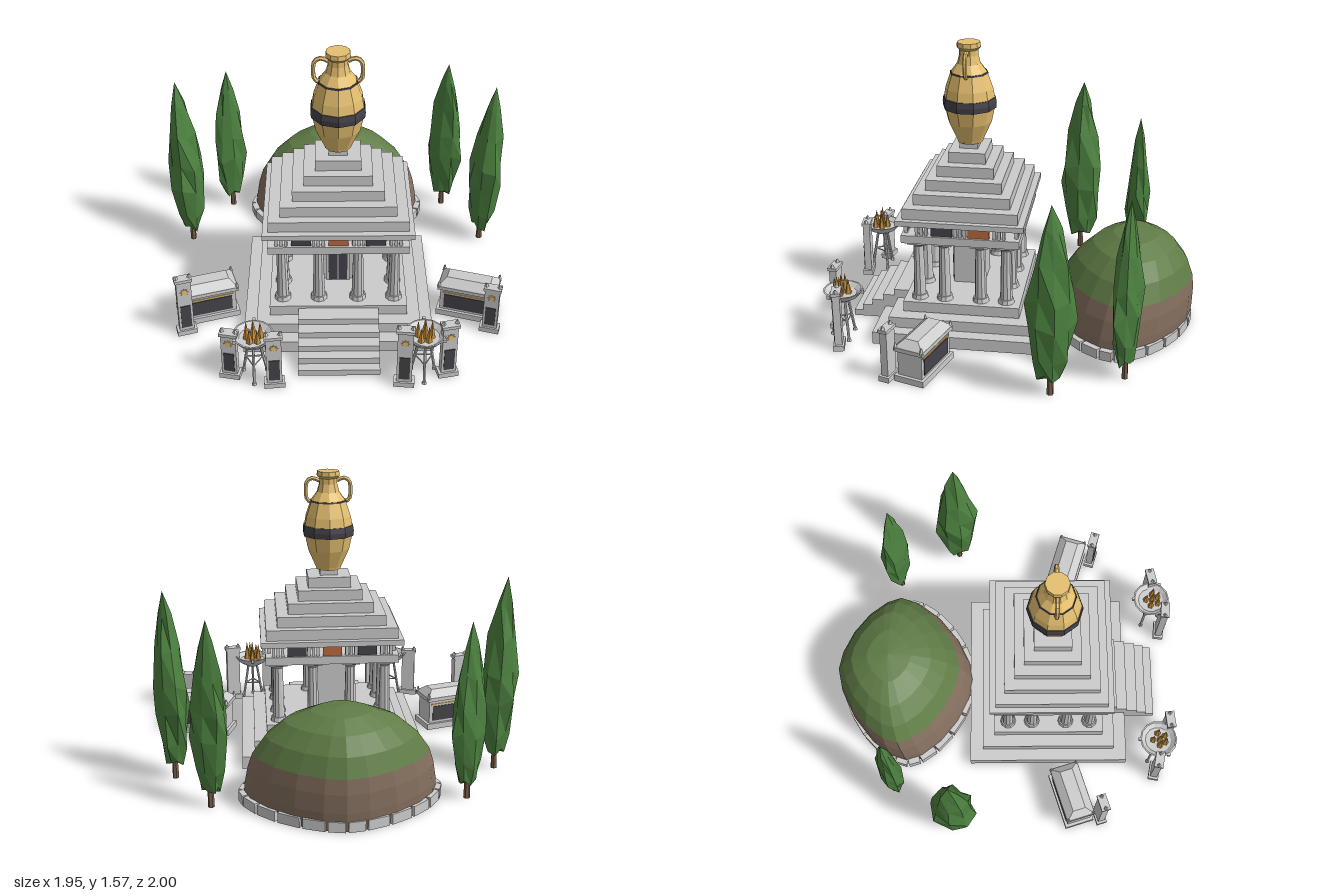
import * as THREE from 'three';

const mat = (color, extra = {}) => new THREE.MeshStandardMaterial({ color, flatShading: true, ...extra });
const stone = mat(0xcccccc), dark = mat(0x45434a), gold = mat(0xe6c070), ember = mat(0xc8903c);
const clay = mat(0xbc6a40), leaf = mat(0x4d8340), bark = mat(0x7a6048);
const grass = mat(0x607c46, { side: THREE.DoubleSide }), earth = mat(0x85705f, { side: THREE.DoubleSide });
const bowlStone = mat(0xcccccc, { side: THREE.DoubleSide });
const V2 = (p) => p.map(([x, y]) => new THREE.Vector2(x, y));

function add(parent, name, geo, m, x = 0, y = 0, z = 0) {
  const mesh = new THREE.Mesh(geo, m);
  mesh.name = name;
  mesh.position.set(x, y, z);
  parent.add(mesh);
  return mesh;
}
// box standing on height y
const box = (p, name, w, h, d, x, y, z, m = stone) => add(p, name, new THREE.BoxGeometry(w, h, d), m, x, y + h / 2, z);
const cyl = (p, name, rt, rb, h, x, y, z, m = stone, n = 10) =>
  add(p, name, new THREE.CylinderGeometry(rt, rb, h, n), m, x, y + h / 2, z);
function group(parent, name, x = 0, z = 0, ry = 0) {
  const g = new THREE.Group();
  g.name = name;
  g.position.set(x, 0, z);
  g.rotation.y = ry;
  parent.add(g);
  return g;
}
// straight rod between two points
function rod(p, name, a, b, r, m = stone) {
  const d = b.clone().sub(a), mid = a.clone().add(b).multiplyScalar(0.5);
  const mesh = add(p, name, new THREE.CylinderGeometry(r, r, d.length(), 6), m, mid.x, mid.y, mid.z);
  mesh.quaternion.setFromUnitVectors(new THREE.Vector3(0, 1, 0), d.normalize());
}

function temple(root) {
  const t = group(root, 'temple', 0, 0.25);
  // stepped platform
  [[1.02, 0.93, 0], [0.88, 0.78, 0.07], [0.74, 0.64, 0.135]].forEach(([w, d, y]) =>
    box(t, 'platformStep', w, y ? 0.06 : 0.07, d, 0, y, 0));
  // front stairs
  [0.645, 0.595, 0.54, 0.475, 0.41].forEach((z, i) =>
    box(t, 'stair', 0.43, 0.036 * (i + 1), z - 0.3, 0, 0, (z + 0.3) / 2));
  // colonnade
  const xs = [-0.3, -0.105, 0.105, 0.3], zs = [-0.24, -0.1, 0.1, 0.24];
  xs.forEach((x, i) => zs.forEach((z, j) => {
    if (i % 3 && j % 3) return;
    const c = group(t, 'column', x, z);
    cyl(c, 'columnBase', 0.041, 0.046, 0.025, 0, 0.195, 0);
    cyl(c, 'columnShaft', 0.027, 0.034, 0.305, 0, 0.22, 0);
    cyl(c, 'columnCapital', 0.048, 0.028, 0.022, 0, 0.51, 0);
    box(c, 'columnAbacus', 0.1, 0.018, 0.1, 0, 0.53, 0);
  }));
  // inner chamber with double door
  box(t, 'chamber', 0.2, 0.35, 0.17, 0, 0.195, 0);
  box(t, 'doorFrame', 0.13, 0.275, 0.02, 0, 0.195, 0.087);
  for (const s of [-1, 1]) box(t, 'doorLeaf', 0.048, 0.25, 0.012, s * 0.027, 0.2, 0.095, dark);
  // entablature with an open frieze
  box(t, 'architrave', 0.74, 0.045, 0.64, 0, 0.547, 0);
  for (const s of [-1, 1]) {
    const triglyph = (x, z, alongX) => {
      for (const k of [-1, 0, 1])
        box(t, 'triglyph', alongX ? 0.017 : 0.02, 0.066, alongX ? 0.02 : 0.017,
          x + (alongX ? k * 0.025 : 0), 0.591, z + (alongX ? 0 : k * 0.025));
    };
    xs.forEach((x) => triglyph(x, s * 0.3, true));
    [-0.21, 0, 0.21].forEach((z) => triglyph(s * 0.35, z, false));
    [-0.195, 0, 0.195].forEach((x) => box(t, 'friezePanel', 0.105, 0.056, 0.015, x, 0.592, s * 0.3, x ? dark : clay));
    [-0.1, 0.1].forEach((z) => box(t, 'friezePanel', 0.015, 0.056, 0.115, s * 0.35, 0.592, z, z > 0 ? dark : clay));
  }
  box(t, 'cornice', 0.79, 0.03, 0.69, 0, 0.655, 0);
  // stepped roof
  [[0.365, 0.31], [0.303, 0.262], [0.24, 0.207], [0.18, 0.155], [0.12, 0.102]].forEach(([w, d], i) =>
    box(t, 'roofStep', w * 2, 0.06, d * 2, 0, 0.685 + i * 0.06, 0));
  box(t, 'urnPlinth', 0.1, 0.035, 0.1, 0, 0.985, 0);

  // urn
  const u = group(t, 'urn');
  add(u, 'urnBody', new THREE.LatheGeometry(V2([[0, 1.015], [0.07, 1.015], [0.075, 1.03], [0.12, 1.13], [0.144, 1.24],
    [0.13, 1.32], [0.1, 1.405], [0.064, 1.455], [0.052, 1.5], [0.052, 1.53], [0.066, 1.545], [0.063, 1.57], [0, 1.57]]), 10), gold);
  add(u, 'urnBand', new THREE.LatheGeometry(V2([[0.138, 1.21], [0.145, 1.21], [0.148, 1.24], [0.143, 1.27], [0.136, 1.27]]), 10), dark);
  add(u, 'urnShoulderLine', new THREE.LatheGeometry(V2([[0.099, 1.4], [0.105, 1.4], [0.103, 1.408], [0.097, 1.408]]), 10), dark);
  for (const s of [-1, 1]) {
    const path = new THREE.CatmullRomCurve3([[0.05, 1.515], [0.085, 1.53], [0.116, 1.515], [0.125, 1.46], [0.117, 1.41], [0.09, 1.395]]
      .map(([x, y]) => new THREE.Vector3(s * x, y, 0)));
    add(u, 'urnHandle', new THREE.TubeGeometry(path, 10, 0.012, 6), gold);
  }
}

// point on the mound's pointed oval outline
const oval = (a, rx, rz) => {
  const p = (v) => Math.sign(v) * Math.abs(v) ** 1.25;
  return new THREE.Vector3(rx * p(Math.sin(a)), 0, rz * p(Math.cos(a)));
};
function mound(root) {
  const g = group(root, 'mound', 0, -0.59);
  const shell = (name, pts, m) => {
    const geo = new THREE.LatheGeometry(V2(pts), 20), P = geo.attributes.position;
    for (let i = 0; i < P.count; i++) {
      const x = P.getX(i), y = P.getY(i), z = P.getZ(i), r = Math.hypot(x, z);
      const o = oval(Math.atan2(x, z), r * 0.505, r * 0.4);
      P.setXYZ(i, o.x, y, o.z - 0.165 * y);
    }
    add(g, name, geo, m);
  };
  shell('moundEarth', [[1, 0], [0.985, 0.1], [0.95, 0.2], [0.9, 0.28]], earth);
  shell('moundGrass', [[0.9, 0.28], [0.77, 0.38], [0.58, 0.465], [0.32, 0.52], [0, 0.542]], grass);
  // kerb stones
  const n = 24;
  for (let i = 0; i < n; i++) {
    const a = oval(i / n * Math.PI * 2, 0.515, 0.395), b = oval((i + 1) / n * Math.PI * 2, 0.515, 0.395);
    const k = box(g, 'kerbStone', a.distanceTo(b) * 0.9, 0.055, 0.035, (a.x + b.x) / 2, 0, (a.z + b.z) / 2);
    k.rotation.y = Math.atan2(a.z - b.z, b.x - a.x);
  }
}

function cypress(root, x, z, h, rx, rz, ry, lean, seed) {
  const g = group(root, 'cypress', x, z, ry);
  cyl(g, 'cypressTrunk', 0.013, 0.018, 0.16, 0, 0, 0, bark, 6);
  const prof = [[0, 0.09], [0.5, 0.1], [0.75, 0.2], [0.98, 0.38], [0.95, 0.52], [0.72, 0.7], [0.38, 0.87], [0, 1]];
  const n = 8, geo = new THREE.LatheGeometry(V2(prof), n), P = geo.attributes.position;
  for (let i = 0; i < P.count; i++) {
    const row = i % prof.length, seg = Math.floor(i / prof.length) % n;
    const noise = Math.sin(seed * 7.3 + row * 4.1 + seg * 2.7), y = P.getY(i), f = 1 + 0.13 * noise;
    const inner = row > 0 && row < prof.length - 1;
    P.setXYZ(i, P.getX(i) * rx * f, y * h + (inner ? 0.02 * Math.sin(seg * 3.9 + seed) : 0), P.getZ(i) * rz * f);
  }
  geo.translate(0, 0, 0);
  // gentle lean of the tip, in world x
  for (let i = 0; i < P.count; i++) {
    const k = lean * (P.getY(i) / h) ** 2;
    P.setX(i, P.getX(i) + k * Math.cos(ry));
    P.setZ(i, P.getZ(i) + k * Math.sin(ry));
  }
  add(g, 'cypressFoliage', geo, leaf);
}

function sarcophagus(root, s) {
  const g = group(root, 'sarcophagus', s * 0.727, 0.38, -s * 0.3);
  box(g, 'sarcophagusBase', 0.33, 0.035, 0.17, 0, 0, 0);
  box(g, 'sarcophagusBody', 0.295, 0.15, 0.14, 0, 0.035, 0);
  for (const f of [-1, 1]) {
    box(g, 'sidePanel', 0.25, 0.09, 0.006, 0, 0.05, f * 0.071, dark);
    box(g, 'goldStrip', 0.27, 0.008, 0.008, 0, 0.148, f * 0.071, gold);
  }
  box(g, 'lidRim', 0.325, 0.022, 0.168, 0, 0.175, 0);
  // hipped lid: upper corners drawn inward
  const geo = new THREE.BoxGeometry(0.32, 0.04, 0.165), P = geo.attributes.position;
  for (let i = 0; i < P.count; i++) if (P.getY(i) > 0) P.setXYZ(i, P.getX(i) * 0.75, 0.02, P.getZ(i) * 0.45);
  add(g, 'lid', geo, stone, 0, 0.217, 0);
  for (const a of [-1, 1]) for (const b of [-1, 1]) cyl(g, 'lidCornerKnob', 0.004, 0.013, 0.035, a * 0.155, 0.19, b * 0.075, stone, 4);
}

function stele(root, x, z, h, ry) {
  const g = group(root, 'stele', x, z, ry);
  box(g, 'steleBase', 0.108, 0.03, 0.06, 0, 0, 0);
  box(g, 'steleShaft', 0.08, h - 0.055, 0.04, 0, 0.03, 0);
  box(g, 'stelePanel', 0.056, h * 0.38, 0.006, 0, 0.05, 0.021, dark);
  box(g, 'steleCap', 0.095, 0.018, 0.052, 0, h - 0.03, 0);
  for (const s of [-1, 1]) cyl(g, 'steleCapHorn', 0.004, 0.014, 0.02, s * 0.036, h - 0.013, 0, stone, 4);
  // eight-pointed rosette
  const star = new THREE.Shape(Array.from({ length: 16 }, (_, i) => {
    const r = i % 2 ? 0.013 : 0.023, a = i * Math.PI / 8;
    return new THREE.Vector2(r * Math.cos(a), r * Math.sin(a));
  }));
  add(g, 'rosette', new THREE.ExtrudeGeometry(star, { depth: 0.006, bevelEnabled: false }), gold, 0, h * 0.76, 0.019);
}

function brazier(root, s) {
  const g = group(root, 'brazier', s * 0.44, 0.885);
  add(g, 'brazierBowl', new THREE.LatheGeometry(V2([[0, 0.215], [0.035, 0.22], [0.085, 0.25], [0.108, 0.283], [0.1, 0.283], [0.075, 0.262], [0, 0.258]]), 14), bowlStone);
  for (let i = 0; i < 3; i++) {
    const a = i * Math.PI * 2 / 3 + Math.PI / 2, c = Math.cos(a), d = Math.sin(a);
    rod(g, 'brazierLeg', new THREE.Vector3(c * 0.072, 0, d * 0.072), new THREE.Vector3(c * 0.028, 0.24, d * 0.028), 0.008);
    rod(g, 'legBrace', new THREE.Vector3(c * 0.052, 0.11, d * 0.052),
      new THREE.Vector3(Math.cos(a + 2.094) * 0.052, 0.11, Math.sin(a + 2.094) * 0.052), 0.004);
    cyl(g, 'legFoot', 0.01, 0.014, 0.015, c * 0.072, 0, d * 0.072, stone, 6);
    box(g, 'rimKnob', 0.016, 0.022, 0.016, c * -0.108, 0.268, d * -0.108);
  }
  // flames
  [[0, -0.03], [-0.038, -0.003], [0.033, 0.008], [-0.024, 0.04], [0.015, 0.04], [0, 0.008]].forEach(([x, z], i) =>
    add(g, 'flame', new THREE.ConeGeometry(0.019, 0.085 + (i % 3) * 0.014, 5), ember, s * x, 0.305 + (i % 3) * 0.007, z));
}

export function createModel() {
  const root = new THREE.Group();
  root.name = 'templeScene';
  temple(root);
  mound(root);
  cypress(root, -0.875, -0.3, 1.09, 0.1, 0.125, -0.15, -0.035, 1);
  cypress(root, -0.655, -0.66, 0.96, 0.1, 0.062, 0.45, 0, 2);
  cypress(root, 0.67, -0.66, 1.0, 0.11, 0.062, -0.55, 0, 3);
  cypress(root, 0.87, -0.295, 1.05, 0.09, 0.125, 0.3, 0.03, 4);
  for (const s of [-1, 1]) {
    sarcophagus(root, s);
    brazier(root, s);
    stele(root, s * 0.83, 0.545, s < 0 ? 0.385 : 0.31, -s * 0.3);
    stele(root, s * 0.565, 0.885, s < 0 ? 0.31 : 0.355, s * 0.2);
    stele(root, s * 0.335, 0.955, s < 0 ? 0.35 : 0.385, -s * 0.1);
  }
  return root;
}
